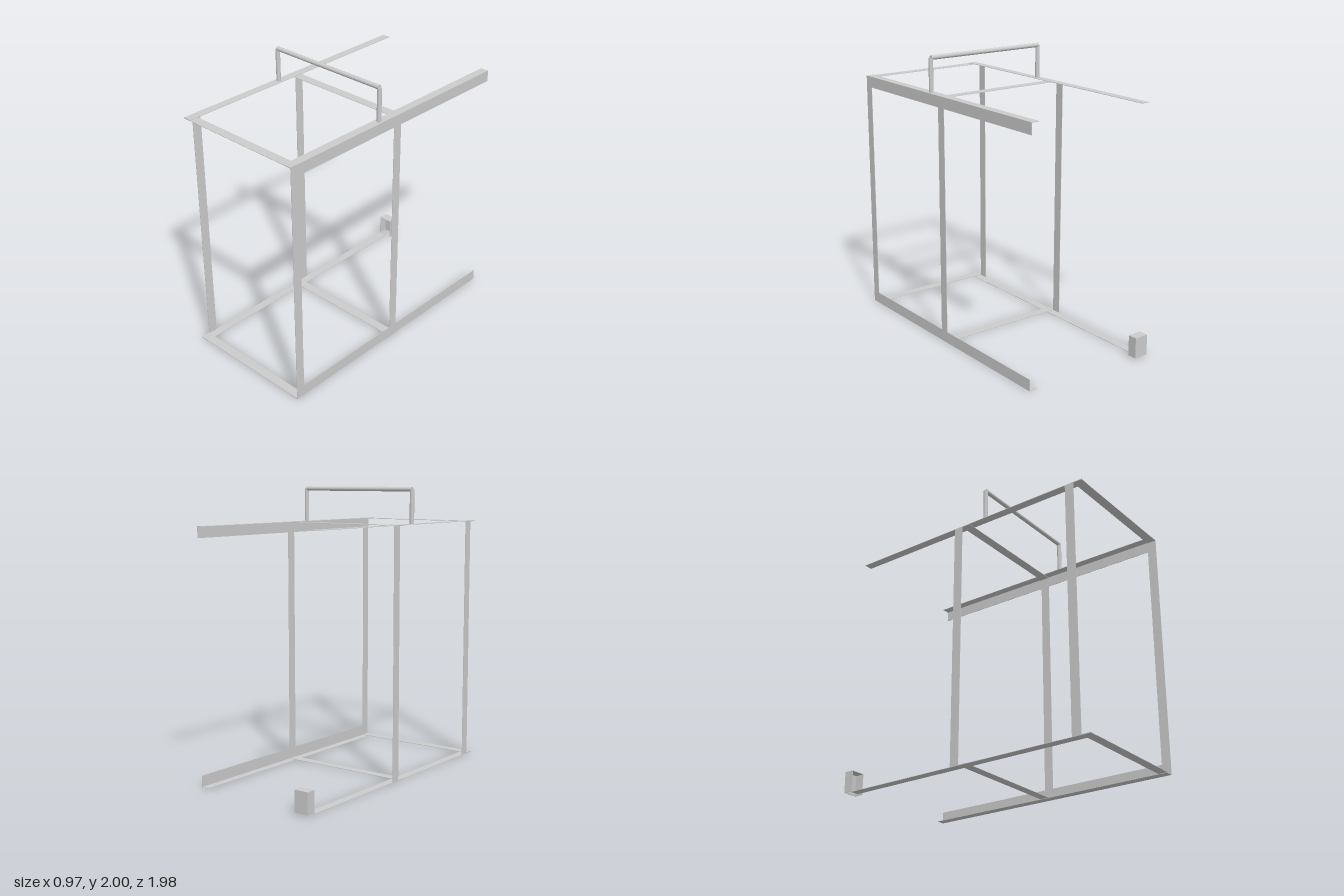
import * as THREE from 'three';

export function createModel() {
  const group = new THREE.Group();
  const mat = new THREE.MeshStandardMaterial({ color: 0xcccccc, side: THREE.DoubleSide });
  const T = 0.003; // sheet thickness

  const add = (name, geometry) => {
    const mesh = new THREE.Mesh(geometry, mat);
    mesh.name = name;
    group.add(mesh);
    return mesh;
  };
  // Box given by its extents along each axis
  const slab = (name, [x0, x1], [y0, y1], [z0, z1]) =>
    add(name, new THREE.BoxGeometry(x1 - x0, y1 - y0, z1 - z0))
      .position.set((x0 + x1) / 2, (y0 + y1) / 2, (z0 + z1) / 2);

  const X = 0.483, W = 0.06, BACK = -0.92, FRONT = 0.988;

  // Top and bottom frames: flat side rails, cross strips, upright flange on the left
  for (const [level, y, crossY, flange] of [
    ['top', 1.749, 1.746, [1.672, 1.75]],
    ['bottom', 0.004, 0.007, [0.004, 0.083]],
  ]) {
    const flat = [y - T / 2, y + T / 2], cross = [crossY - T / 2, crossY + T / 2];
    slab(level + 'RailLeft', [X - W, X], flat, [BACK, FRONT]);
    slab(level + 'RailRight', [-X, -X + W], flat, [BACK, FRONT]);
    slab(level + 'FlangeLeft', [X - T, X], flange, [BACK, FRONT]);
    slab(level + 'FrontStrip', [-X, X], cross, [0.923, FRONT]);
    slab(level + 'MiddleStrip', [-X, X], cross, [0, 0.065]);
  }

  // Upright posts, flat against each side
  const height = [0.005, 1.748];
  slab('frontPostLeft', [X - T, X], height, [0.923, FRONT]);
  slab('middlePostLeft', [X - T, X], height, [0.001, 0.067]);
  slab('frontPostRight', [-X, -X + T], height, [0.857, 0.923]);
  slab('middlePostRight', [-X, -X + T], height, [-0.065, 0.001]);

  // Small box shell at the back end, open to the front and below
  const bx = [-0.481, -0.376], by = [0.01, 0.157], bz = [-0.99, -0.922];
  slab('endBoxTop', bx, [by[1] - T, by[1]], bz);
  slab('endBoxBack', bx, by, [bz[0], bz[0] + T]);
  slab('endBoxSideRight', [bx[0], bx[0] + T], by, bz);
  slab('endBoxSideLeft', [bx[1] - T, bx[1]], by, bz);

  // Round handle over the top
  const R = 0.0155, HX = 0.455, HZ = 0.185;
  for (const s of [-1, 1]) {
    add(s > 0 ? 'handleLegLeft' : 'handleLegRight', new THREE.CylinderGeometry(R, R, 0.235, 20))
      .position.set(s * HX, 1.8655, HZ);
  }
  const bar = add('handleBar', new THREE.CylinderGeometry(R, R, 2 * HX, 20));
  bar.rotation.z = Math.PI / 2;
  bar.position.set(0, 1.984, HZ);

  return group;
}
